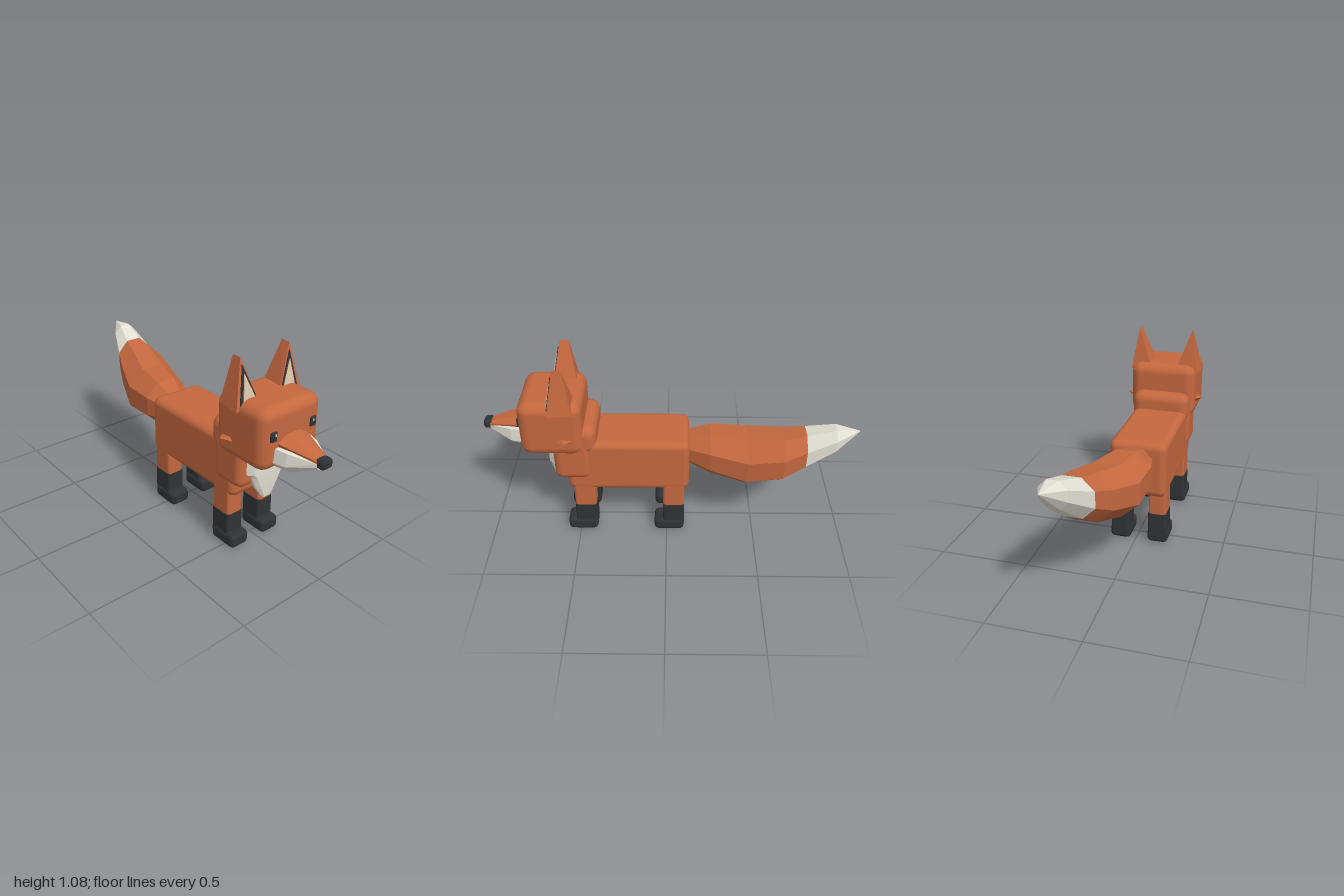
import * as THREE from 'three';
import { RoundedBoxGeometry } from 'three/addons/geometries/RoundedBoxGeometry.js';

const mat = (color, flatShading = false) => new THREE.MeshStandardMaterial({ color, flatShading });
const ORANGE = 0xc5683f, DARK = 0x303335, WHITE = 0xe2dfd3, CREAM = 0xdcc4a6;

// Rounded box given by its minimum and maximum corners
function box(name, min, max, radius, color) {
  const size = max.map((v, i) => v - min[i]);
  const mesh = new THREE.Mesh(new RoundedBoxGeometry(...size, 2, radius), mat(color));
  mesh.position.set(...max.map((v, i) => (v + min[i]) / 2));
  mesh.name = name;
  return mesh;
}

// Closed faceted solid through rings of equal point count, capped at both ends
function loft(name, rings, color) {
  const n = rings[0].length, tris = [];
  for (let r = 0; r < rings.length - 1; r++) {
    for (let i = 0; i < n; i++) {
      const j = (i + 1) % n, a = rings[r], b = rings[r + 1];
      tris.push([a[i], a[j], b[j]], [a[i], b[j], b[i]]);
    }
  }
  const first = rings[0], last = rings[rings.length - 1];
  for (let i = 1; i < n - 1; i++) {
    tris.push([first[0], first[i + 1], first[i]], [last[0], last[i], last[i + 1]]);
  }
  // Turn the faces outward whichever way the rings run
  const v = (p) => new THREE.Vector3(...p);
  const volume = tris.reduce((s, [a, b, c]) => s + v(a).dot(v(b).cross(v(c))), 0);
  if (volume < 0) tris.forEach((t) => t.reverse());
  const geo = new THREE.BufferGeometry();
  geo.setAttribute('position', new THREE.Float32BufferAttribute(tris.flat(2), 3));
  geo.computeVertexNormals();
  const mesh = new THREE.Mesh(geo, mat(color, true));
  mesh.name = name;
  return mesh;
}

// Ring symmetric in x at depth z, from its right-hand half [x, y], top to bottom
const symRing = (half, z) => [
  ...half.map(([x, y]) => [x, y, z]),
  ...half.slice().reverse().map(([x, y]) => [-x, y, z]),
];

function makeLeg(name, side, z) {
  const g = new THREE.Group();
  g.name = name;
  const x = side * 0.108;
  g.add(
    box('upperLeg', [x - 0.05, 0.17, z - 0.06], [x + 0.05, 0.4, z + 0.06], 0.015, ORANGE),
    box('sock', [x - 0.052, 0.03, z - 0.061], [x + 0.052, 0.195, z + 0.061], 0.012, DARK),
    box('paw', [x - 0.059, 0, z - 0.06], [x + 0.059, 0.08, z + 0.11], 0.025, DARK),
  );
  return g;
}

function makeEar(name, s) {
  const g = new THREE.Group();
  g.name = name;
  const front = [[s * 0.21, 0.83, 0.615], [s * 0.157, 1.077, 0.57], [s * 0.072, 0.865, 0.61]];
  const back = [[s * 0.2, 0.835, 0.485], [s * 0.157, 1.077, 0.522], [s * 0.078, 0.86, 0.485]];
  g.add(loft('earShell', [back, front], ORANGE));
  // Thin panels lying on the sloping front face
  const panel = (label, pts, lift, color) => {
    const ring = (d) => pts.map(([x, y]) => [s * x, y, 0.612 - (y - 0.85) * 0.185 + d]);
    g.add(loft(label, [ring(-0.01), ring(lift)], color));
  };
  panel('earRim', [[0.186, 0.855], [0.152, 1.042], [0.08, 0.868]], 0.005, DARK);
  panel('earLining', [[0.168, 0.865], [0.147, 1.0], [0.092, 0.875]], 0.009, CREAM);
  return g;
}

function makeHead() {
  const g = new THREE.Group();
  g.name = 'head';
  g.add(box('skull', [-0.194, 0.56, 0.44], [0.194, 0.882, 0.778], 0.058, ORANGE));
  // Muzzle: coloured bridge over a pale jaw
  g.add(loft('muzzleBridge', [
    symRing([[0.048, 0.737], [0.104, 0.705], [0.088, 0.665]], 0.76),
    symRing([[0.02, 0.676], [0.034, 0.667], [0.034, 0.655]], 0.965),
  ], ORANGE));
  g.add(loft('muzzleJaw', [
    symRing([[0.122, 0.685], [0.13, 0.61], [0.082, 0.565]], 0.75),
    symRing([[0.1, 0.678], [0.108, 0.61], [0.068, 0.568]], 0.84),
    symRing([[0.036, 0.656], [0.034, 0.638], [0.02, 0.622]], 0.962),
  ], WHITE));
  g.add(box('nose', [-0.035, 0.632, 0.945], [0.035, 0.682, 1], 0.017, DARK));
  for (const s of [-1, 1]) {
    const side = s > 0 ? 'left' : 'right';
    const x = s * 0.129;
    g.add(box(side + 'Eye', [x - 0.019, 0.722, 0.765], [x + 0.019, 0.775, 0.787], 0.009, DARK));
    const hx = s * 0.124;
    g.add(box(side + 'EyeGlint', [hx - 0.004, 0.752, 0.78], [hx + 0.004, 0.765, 0.79], 0.001, 0xffffff));
    // Pointed cheek tuft
    const base = [[0.655, 0.595], [0.68, 0.565], [0.67, 0.49], [0.635, 0.53]];
    g.add(loft(side + 'CheekTuft', [
      base.map(([y, z]) => [s * 0.18, y, z]),
      base.map(() => [s * 0.234, 0.672, 0.53]),
    ], ORANGE));
    g.add(makeEar(side + 'Ear', s));
  }
  return g;
}

function makeTail() {
  const g = new THREE.Group();
  g.name = 'tail';
  // Extents of each section: z, x min, x max, y min, y max
  const rows = [
    [-0.1, -0.08, 0.08, 0.42, 0.585], [-0.24, -0.11, 0.16, 0.372, 0.63],
    [-0.435, -0.1, 0.235, 0.347, 0.64], [-0.62, -0.025, 0.27, 0.41, 0.678],
    [-0.735, 0.03, 0.25, 0.49, 0.707], [-0.88, 0.1, 0.245, 0.61, 0.757],
    [-1, 0.186, 0.192, 0.742, 0.748],
  ];
  const k = 0.5 / Math.cos(Math.PI / 8);
  const rings = rows.map(([z, x0, x1, y0, y1]) => Array.from({ length: 8 }, (_, i) => {
    const a = (i + 0.5) * Math.PI / 4;
    return [(x0 + x1) / 2 + k * (x1 - x0) * Math.cos(a), (y0 + y1) / 2 + k * (y1 - y0) * Math.sin(a), z];
  }));
  g.add(loft('tailBrush', rings.slice(0, 5), ORANGE), loft('tailTip', rings.slice(4), WHITE));
  return g;
}

// Pale chest bib: flat centre with bevelled sides, tapering to a point below
function makeBib() {
  const row = (y, outer, inner, zSide, zFront) => [
    [outer, y, zSide - 0.02], [outer, y, zSide], [inner, y, zFront],
    [-inner, y, zFront], [-outer, y, zSide], [-outer, y, zSide - 0.02],
  ];
  return loft('chestBib', [
    row(0.6, 0.13, 0.104, 0.615, 0.645), row(0.465, 0.13, 0.104, 0.615, 0.645),
    row(0.45, 0.105, 0.085, 0.625, 0.645), row(0.38, 0.078, 0.055, 0.628, 0.642),
    row(0.307, 0.028, 0.022, 0.63, 0.636),
  ], WHITE);
}

export function createModel() {
  const fox = new THREE.Group();
  fox.name = 'fox';
  fox.add(
    box('body', [-0.16, 0.3, -0.125], [0.16, 0.622, 0.55], 0.04, ORANGE),
    box('chest', [-0.175, 0.385, 0.41], [0.175, 0.64, 0.615], 0.045, ORANGE),
    box('neck', [-0.17, 0.55, 0.375], [0.17, 0.722, 0.6], 0.055, ORANGE),
    makeBib(), makeHead(), makeTail(),
  );
  for (const s of [-1, 1]) {
    const side = s > 0 ? 'Left' : 'Right';
    fox.add(makeLeg('front' + side + 'Leg', s, 0.46), makeLeg('back' + side + 'Leg', s, -0.04));
  }
  fox.position.x = -0.02;
  const root = new THREE.Group();
  root.name = 'model';
  root.add(fox);
  return root;
}
